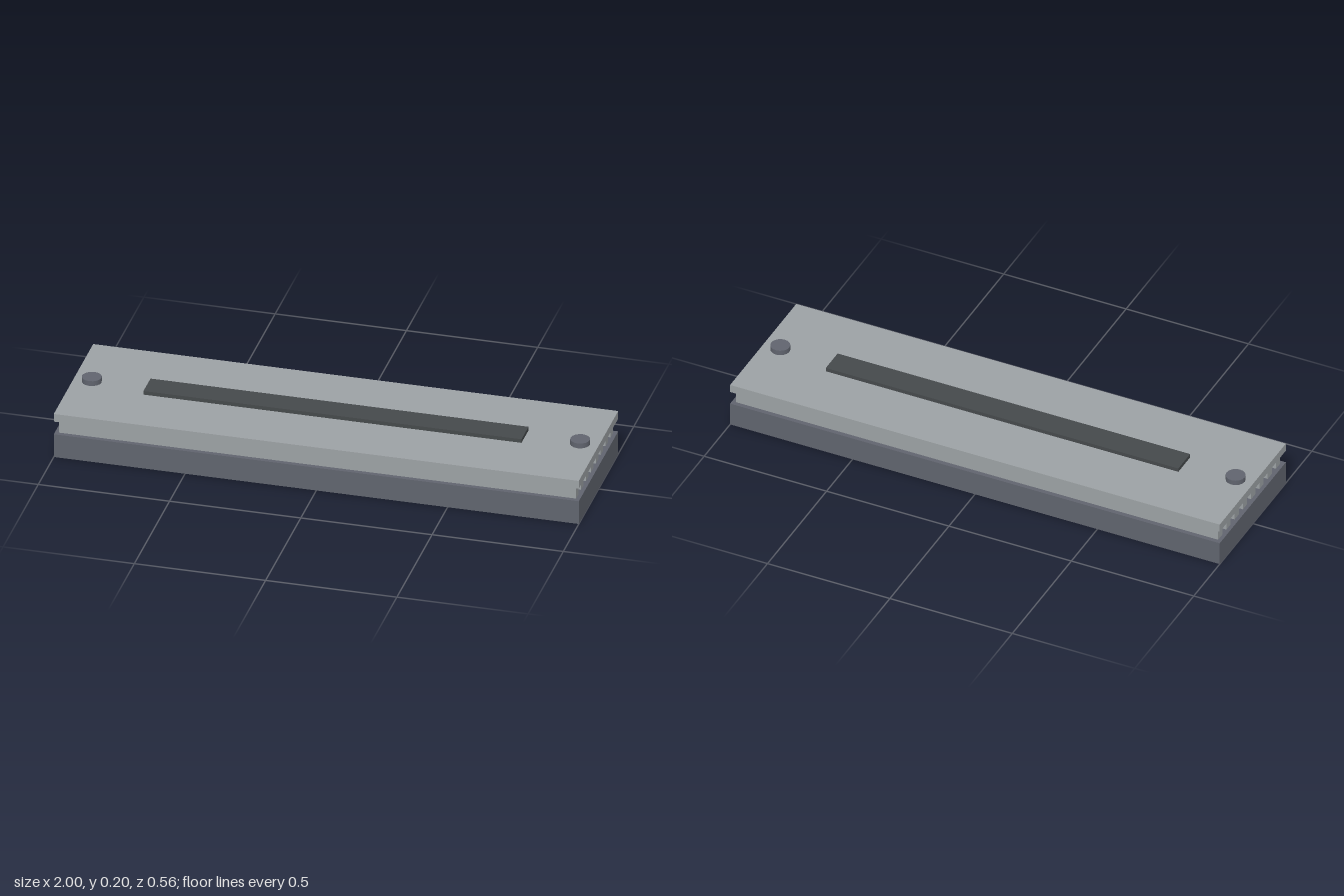
import * as THREE from 'three';

const plateGrey = new THREE.MeshStandardMaterial({ color: 0x9ca1a4 });
plateGrey.name = 'plate grey';
const baseGrey = new THREE.MeshStandardMaterial({ color: 0x60646e });
baseGrey.name = 'slate grey';
const stripDark = new THREE.MeshStandardMaterial({ color: 0x45494b });
stripDark.name = 'dark grey';

export function createModel() {
  const model = new THREE.Group();
  model.name = 'finnedPlate';

  const add = (name, geometry, material, x, y, z) => {
    const mesh = new THREE.Mesh(geometry, material);
    mesh.name = name;
    mesh.position.set(x, y, z);
    model.add(mesh);
  };
  // Box spanning y0 to y1, centred on x = 0
  const slab = (name, material, width, depth, y0, y1, z = 0) =>
    add(name, new THREE.BoxGeometry(width, y1 - y0, depth), material, 0, (y0 + y1) / 2, z);

  // Solid base and cover plate
  slab('base', baseGrey, 2, 0.56, 0, 0.095);
  slab('coverPlate', plateGrey, 2, 0.56, 0.148, 0.18);

  // Eight long fins between base and cover
  for (let i = 0; i < 8; i++) {
    slab('fin' + (i + 1), plateGrey, 1.97, 0.035, 0.095, 0.148, (i - 3.5) * 0.07);
  }

  // Raised dark strip on the cover
  slab('topStrip', stripDark, 1.44, 0.1, 0.18, 0.195);

  // Bolt head at each end
  for (const side of [-1, 1]) {
    add(side > 0 ? 'leftBolt' : 'rightBolt',
      new THREE.CylinderGeometry(0.037, 0.037, 0.02, 16), baseGrey, side * 0.93, 0.19, 0);
  }

  return model;
}
